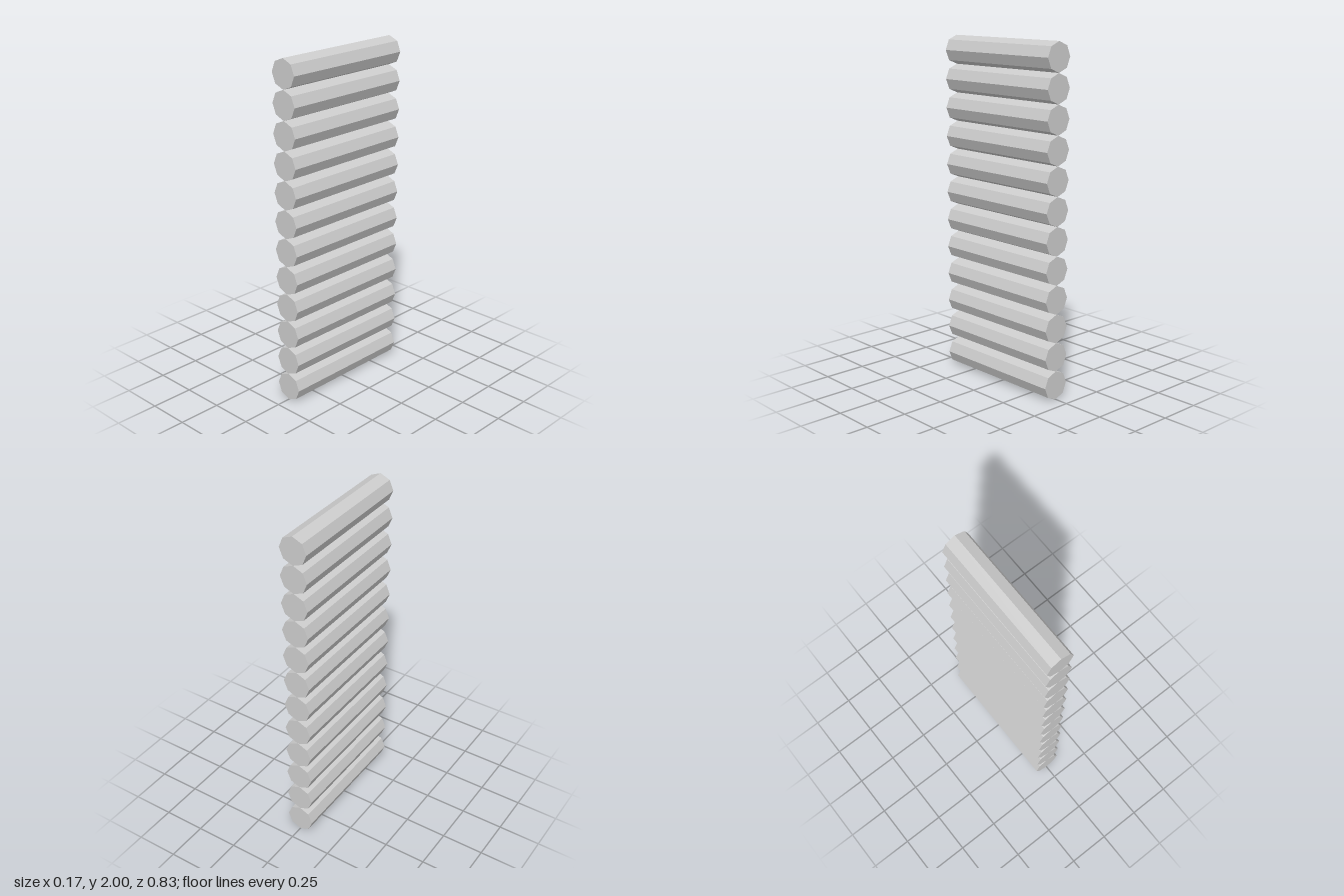
import * as THREE from 'three';

export function createModel() {
  const group = new THREE.Group();
  group.name = 'logWall';

  const count = 12;
  const radius = 1 / count; // stacked diameters add up to a height of 2
  const length = 0.83;

  // Octagonal log lying along z, with a corner pointing straight up
  const logGeometry = new THREE.CylinderGeometry(radius, radius, length, 8);
  logGeometry.rotateX(Math.PI / 2);
  const material = new THREE.MeshStandardMaterial({ color: 0xcccccc, flatShading: true });

  // Logs stacked edge on edge
  for (let i = 0; i < count; i++) {
    const log = new THREE.Mesh(logGeometry, material);
    log.name = `log${i + 1}`;
    log.position.y = radius * (2 * i + 1);
    group.add(log);
  }
  return group;
}
